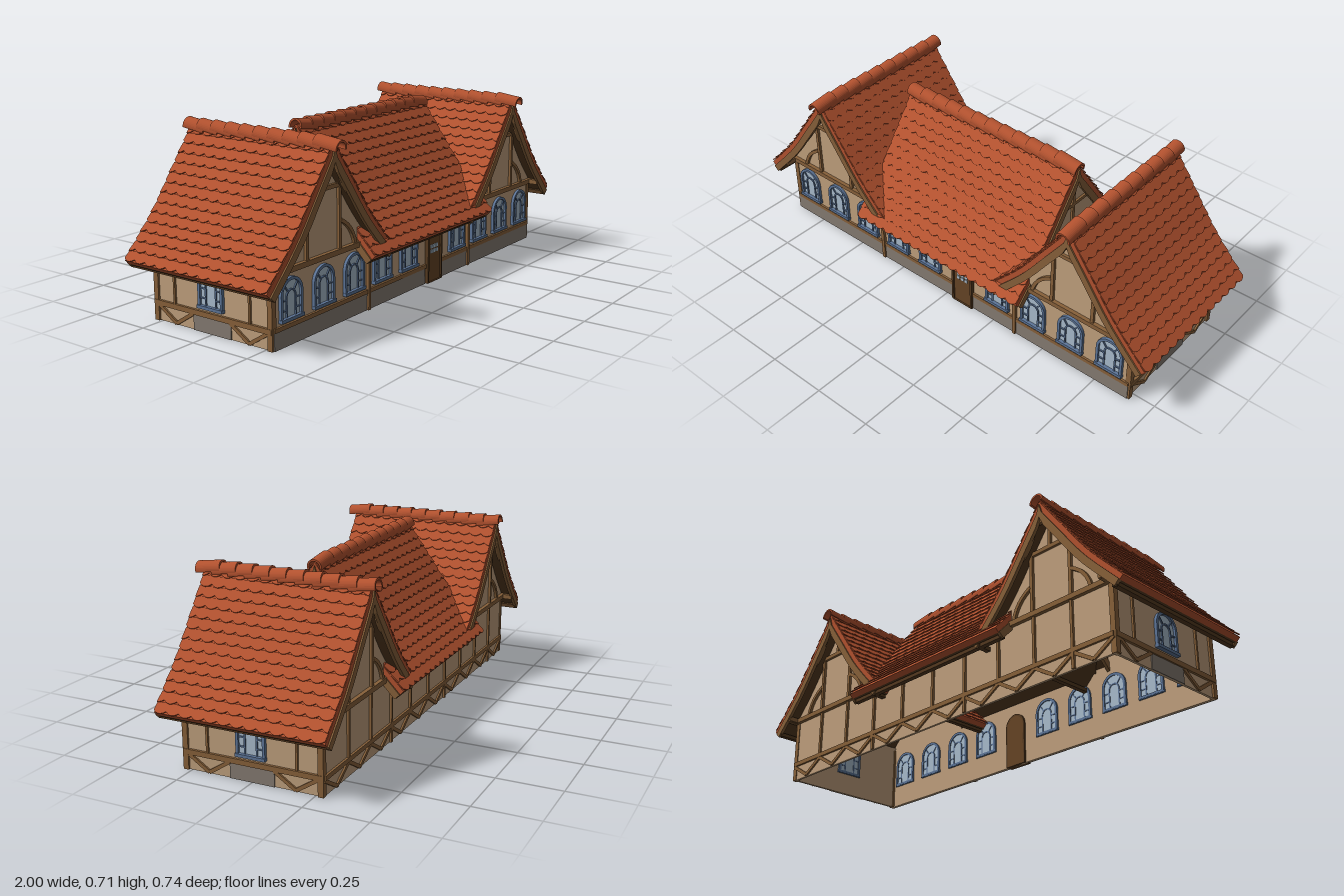
import * as THREE from 'three';
import { mergeGeometries } from 'three/addons/utils/BufferGeometryUtils.js';

const mat = (name, color, side = THREE.FrontSide) =>
  Object.assign(new THREE.MeshStandardMaterial({ color, side }), { name });
const M = {
  roof: mat('terracotta', 0xb3522f),
  wall: mat('plaster', 0xc0a07d, THREE.DoubleSide),
  wood: mat('timber', 0x88613a),
  dark: mat('dark timber', 0x553a20),
  stone: mat('stone', 0x857b72),
  frame: mat('blue frame', 0x5d7598),
  glass: mat('glass', 0xa9bccd),
  door: mat('door wood', 0x664425),
};
const V2 = (x, y) => new THREE.Vector2(x, y);

function add(parent, name, geo, material, x = 0, y = 0, z = 0) {
  const m = new THREE.Mesh(geo, material);
  m.name = name;
  m.position.set(x, y, z);
  parent.add(m);
  return m;
}
const box = (p, name, material, w, h, d, x, y, z) =>
  add(p, name, new THREE.BoxGeometry(w, h, d), material, x, y, z);
const extrude = (shape, depth) =>
  new THREE.ExtrudeGeometry(shape, { depth, bevelEnabled: false, curveSegments: 10 });

// straight timber lying in a facade plane
function bar(p, name, x0, y0, x1, y1, w, z, d = 0.012, material = M.wood) {
  const m = box(p, name, material, Math.hypot(x1 - x0, y1 - y0), w, d, (x0 + x1) / 2, (y0 + y1) / 2, z);
  m.rotation.z = Math.atan2(y1 - y0, x1 - x0);
  return m;
}

// band following a 2D line between two normal offsets
function band(pts, o1, o2, depth, clampX = false) {
  const off = o => pts.map((p, i) => {
    const t = pts[Math.min(i + 1, pts.length - 1)].clone().sub(pts[Math.max(i - 1, 0)]).normalize();
    const x = p.x - t.y * o;
    return V2(clampX ? Math.max(0, x) : x, p.y + t.x * o);
  });
  return extrude(new THREE.Shape([...off(o1), ...off(o2).reverse()]), depth);
}

// flared roof slope: distance from ridge, height
const slope = new THREE.SplineCurve([V2(0, 0.685), V2(0.11, 0.535), V2(0.22, 0.388), V2(0.363, 0.236)]);
const slopePts = slope.getSpacedPoints(12);

// courses of round-ended tiles
function tileRows(length, rows = 14) {
  const n = Math.round(length / 0.0515), w = length / n, geos = [];
  for (let r = 0; r < rows; r++) {
    const a = slope.getPointAt(r / rows), b = slope.getPointAt((r + 1) / rows);
    const t0 = b.clone().sub(a).normalize();
    b.add(V2(-t0.y, t0.x).multiplyScalar(0.005));
    const L = a.distanceTo(b), t = b.clone().sub(a).normalize();
    const s = new THREE.Shape();
    s.moveTo(-length / 2, 0);
    for (let i = 0; i <= n * 6; i++) {
      const f = (i / 6 + (r % 2 ? 0 : 0.5)) % 1;
      s.lineTo(-length / 2 + (i / 6) * w, L + 0.004 - 0.012 * (2 * f - 1) ** 2);
    }
    s.lineTo(length / 2, 0);
    const m = new THREE.Matrix4().makeBasis(
      new THREE.Vector3(0, 0, 1), new THREE.Vector3(t.x, t.y, 0), new THREE.Vector3(-t.y, t.x, 0));
    m.setPosition(a.x, a.y, 0);
    geos.push(extrude(s, 0.004).applyMatrix4(m));
  }
  return mergeGeometries(geos);
}

// complete saddle roof with its ridge along z
function makeRoof(name, length, caps, capStart) {
  const g = new THREE.Group();
  g.name = name;
  const tiles = tileRows(length);
  const slab = band(slopePts, 0, -0.022, length, true).translate(0, 0, -length / 2);
  const lining = band(slopePts, -0.022, -0.03, length - 0.01, true).translate(0, 0, -length / 2 + 0.005);
  const barge = band(slopePts, -0.02, -0.048, 0.014, true);
  for (const turn of [0, Math.PI]) {
    const half = new THREE.Group();
    half.name = 'roofSlope';
    half.rotation.y = turn;
    g.add(half);
    add(half, 'roofTiles', tiles, M.roof);
    add(half, 'roofSlab', slab, M.roof);
    add(half, 'roofLining', lining, M.dark);
    for (const z of [length / 2 - 0.008, -length / 2 - 0.006]) add(half, 'bargeBoard', barge, M.wood, 0, 0, z);
    box(half, 'eaveBeam', M.dark, 0.02, 0.016, length, 0.325, 0.214, 0);
  }
  // overlapping curved ridge caps
  const ring = new THREE.Shape();
  ring.absarc(0, 0, 0.031, -0.25, Math.PI + 0.25, false);
  ring.absarc(0, 0, 0.023, Math.PI + 0.25, -0.25, true);
  const cap = extrude(ring, 0.104).translate(0, 0, -0.052);
  for (let i = 0; i < caps; i++) {
    const m = add(g, 'ridgeCap', cap, M.roof, 0, 0.674, capStart - 0.052 - i * 0.069);
    m.rotation.x = 0.13;
  }
  return g;
}

function arch(w, y0, spring, Path = THREE.Shape) {
  const s = new Path();
  s.moveTo(-w, y0);
  s.lineTo(w, y0);
  s.lineTo(w, spring);
  s.absarc(0, spring, w, 0, Math.PI, false);
  s.lineTo(-w, y0);
  return s;
}

// arched window standing in a facade plane
function addWindow(p, x, z) {
  const g = new THREE.Group();
  g.name = 'window';
  g.position.set(x, 0, z);
  p.add(g);
  const outer = arch(0.059, 0.094, 0.187);
  outer.holes.push(arch(0.048, 0.104, 0.187, THREE.Path));
  add(g, 'windowFrame', extrude(outer, 0.03), M.frame, 0, 0, -0.018);
  add(g, 'windowGlass', extrude(arch(0.05, 0.1, 0.187), 0.017), M.glass, 0, 0, -0.014);
  const inner = arch(0.027, 0.1, 0.176);
  inner.holes.push(arch(0.021, 0.104, 0.176, THREE.Path));
  add(g, 'centreArch', extrude(inner, 0.024), M.frame, 0, 0, -0.016);
  for (const s of [-1, 1]) {
    for (const y of [0.13, 0.166]) box(g, 'windowBar', M.frame, 0.026, 0.005, 0.024, s * 0.037, y, -0.004);
    bar(g, 'windowBar', s * 0.017, 0.197, s * 0.036, 0.223, 0.005, -0.004, 0.024, M.frame);
  }
  box(g, 'windowSill', M.frame, 0.122, 0.012, 0.034, 0, 0.098, 0);
}

// timber framing of one wing gable
function gableFrame(p, cx) {
  const g = new THREE.Group();
  g.name = 'gableFrame';
  g.position.set(cx, 0, 0.285);
  p.add(g);
  bar(g, 'tieBeam', -0.28, 0.272, 0.28, 0.272, 0.02, 0.002, 0.018);
  bar(g, 'collarBeam', -0.1, 0.517, 0.1, 0.517, 0.016, 0);
  bar(g, 'kingPost', 0, 0.52, 0, 0.63, 0.012, 0);
  bar(g, 'trussTie', -0.05, 0.607, 0.05, 0.607, 0.014, 0.04, 0.014);
  box(g, 'ridgePurlin', M.wood, 0.022, 0.024, 0.06, 0, 0.632, 0.02);
  for (const s of [-1, 1]) {
    bar(g, 'gablePost', s * 0.093, 0.275, s * 0.093, 0.52, 0.014, 0);
    const low = new THREE.QuadraticBezierCurve(V2(s * 0.185, 0.28), V2(s * 0.17, 0.35), V2(s * 0.1, 0.385));
    add(g, 'curvedBrace', band(low.getPoints(6), 0.007, -0.007, 0.012), M.wood, 0, 0, -0.005);
    const high = new THREE.QuadraticBezierCurve(V2(s * 0.115, 0.48), V2(s * 0.055, 0.51), V2(s * 0.035, 0.605));
    add(g, 'trussBrace', band(high.getPoints(6), 0.006, -0.006, 0.012), M.wood, 0, 0, 0.034);
    box(g, 'eavePurlin', M.wood, 0.02, 0.02, 0.06, s * 0.265, 0.272, 0.02);
  }
}

// V-shaped foot braces between x0 and x1
function chevron(p, x0, x1, z) {
  const c = (x0 + x1) / 2;
  for (const x of [x0, x1]) bar(p, 'footBrace', x, 0.061, c, 0.006, 0.014, z, 0.01);
}

export function createModel() {
  const model = new THREE.Group();
  model.name = 'timberFramedHouse';
  const face = (name, ry) => {
    const g = new THREE.Group();
    g.name = name;
    g.rotation.y = ry;
    model.add(g);
    return g;
  };
  const longWall = extrude(new THREE.Shape([
    [-0.9, 0], [0.9, 0], [0.9, 0.295], [0.63, 0.638], [0.36, 0.295], [0.36, 0.275],
    [-0.36, 0.275], [-0.36, 0.295], [-0.63, 0.638], [-0.9, 0.295]].map(p => V2(...p))), 0.01);

  // front facade
  const front = face('frontFacade', 0), Z = 0.283;
  add(front, 'frontWall', longWall, M.wall, 0, 0, 0.27);
  box(front, 'stoneBase', M.stone, 0.93, 0.066, 0.006, -0.435, 0.033, Z);
  box(front, 'stoneBase', M.stone, 0.76, 0.066, 0.006, 0.52, 0.033, Z);
  bar(front, 'baseBeam', -0.9, 0.073, 0.035, 0.073, 0.016, Z);
  bar(front, 'baseBeam', 0.14, 0.073, 0.9, 0.073, 0.016, Z);
  for (const x of [-0.36, 0.36]) bar(front, 'wallPost', x, 0, x, 0.275, 0.015, Z + 0.002, 0.016);
  for (let i = 0; i < 10; i++) if (i !== 5) addWindow(front, -0.81 + i * 0.18, 0.28);

  // arched front door with a small lattice window
  const door = new THREE.Group();
  door.name = 'door';
  door.position.set(0.09, 0, 0.262);
  front.add(door);
  const doorFrame = arch(0.053, 0, 0.175);
  doorFrame.holes.push(arch(0.044, 0.002, 0.175, THREE.Path));
  add(door, 'doorFrame', extrude(doorFrame, 0.034), M.dark);
  add(door, 'doorLeaf', extrude(arch(0.046, 0, 0.175), 0.027), M.door);
  for (const x of [-0.02, 0, 0.02]) for (const y of [0.128, 0.148])
    box(door, 'doorPane', M.glass, 0.014, 0.014, 0.004, x, y, 0.028);

  // back facade
  const back = face('backFacade', Math.PI);
  add(back, 'backWall', longWall, M.wall, 0, 0, 0.27);
  bar(back, 'baseBeam', -0.9, 0.07, 0.9, 0.07, 0.018, Z);
  for (let i = 0; i < 10; i++) {
    const x = -0.9 + i * 0.18;
    chevron(back, x, x + 0.18, Z - 0.001);
    if (i) bar(back, 'wallPost', x, i % 3 ? 0.07 : 0, x, 0.275, 0.012, Z);
  }
  for (const f of [front, back]) for (const s of [-1, 1]) gableFrame(f, s * 0.63);

  // end facades
  for (const s of [-1, 1]) {
    const end = face('endFacade', s * Math.PI / 2);
    box(end, 'endWall', M.wall, 0.56, 0.29, 0.01, 0, 0.145, 0.895);
    box(end, 'stoneBase', M.stone, 0.18, 0.062, 0.006, 0, 0.031, 0.901);
    bar(end, 'baseBeam', -0.28, 0.07, 0.28, 0.07, 0.02, 0.903, 0.014);
    bar(end, 'wallPlate', -0.33, 0.27, 0.33, 0.27, 0.02, 0.903, 0.016);
    for (const k of [-1, 1]) {
      chevron(end, k * 0.26, k * 0.09, 0.902);
      bar(end, 'wallPost', k * 0.18, 0.08, k * 0.18, 0.27, 0.009, 0.902);
      box(end, 'cornerPost', M.wood, 0.022, 0.275, 0.022, k * 0.272, 0.1375, 0.897);
    }
    addWindow(end, 0, 0.9);
  }

  // two cross wings and the central range
  for (const s of [-1, 1]) {
    const wing = makeRoof('wingRoof', 0.672, 10, 0.368);
    wing.position.x = s * 0.63;
    model.add(wing);
  }
  const main = makeRoof('mainRoof', 0.85, 12, 0.43);
  main.rotation.y = Math.PI / 2;
  model.add(main);
  const endGable = extrude(new THREE.Shape([V2(-0.22, 0.34), V2(0.22, 0.34), V2(0, 0.64)]), 0.008);
  for (const z of [-0.404, 0.396]) add(main, 'endGable', endGable, M.wall, 0, 0, z);
  for (const z of [-0.407, 0.407]) {
    bar(main, 'gableBeam', -0.1, 0.5, 0.1, 0.5, 0.014, z);
    bar(main, 'gablePost', 0, 0.36, 0, 0.63, 0.014, z);
  }
  return model;
}
